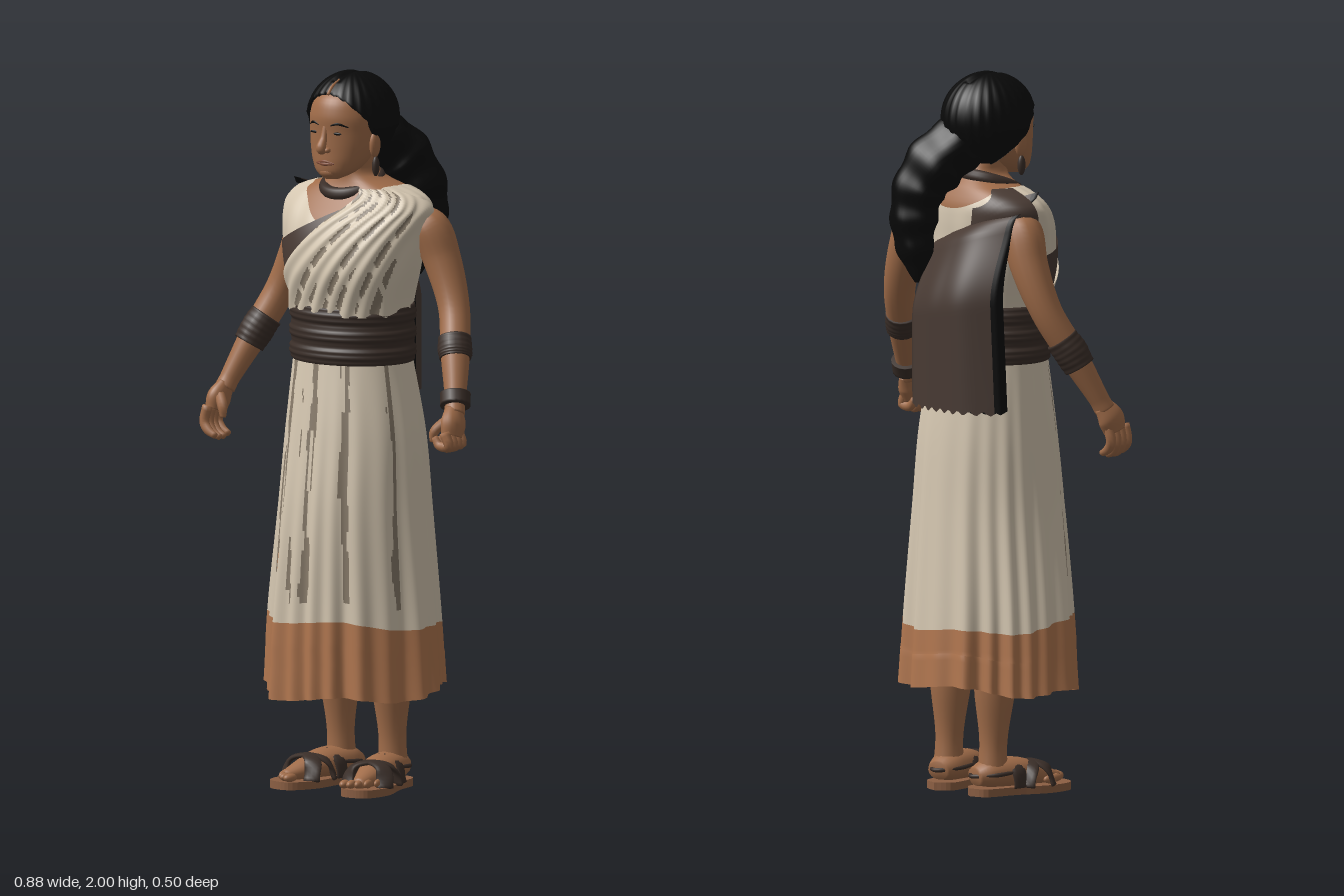
import * as THREE from 'three';

const mat = (name, color) => {
  const m = new THREE.MeshStandardMaterial({ color, side: THREE.DoubleSide });
  m.name = name;
  return m;
};
const M = {
  skin: mat('skin', 0xa06c49), cream: mat('cream cloth', 0xd4c6b0), shade: mat('cloth fold', 0x877a69),
  hem: mat('hem band', 0xb0764f), shawl: mat('shawl brown', 0x483a33), leather: mat('leather', 0x3a2e28),
  hair: mat('hair black', 0x090909), lip: mat('lip', 0x86503a), sole: mat('sole', 0x8c5f43),
};
const { lerp, smoothstep, clamp } = THREE.MathUtils;
const TAU = Math.PI * 2;

// Surface from a rule f(u, v) -> [x, y, z]; pick chooses the material of each face
function sheet(name, mats, nu, nv, f, { wrap = false, pick = () => 0 } = {}) {
  const list = [].concat(mats), pos = [], buckets = list.map(() => []);
  const w = wrap ? nu : nu + 1;
  for (let j = 0; j <= nv; j++) for (let i = 0; i < w; i++) pos.push(...f(i / nu, j / nv));
  for (let j = 0; j < nv; j++) for (let i = 0; i < nu; i++) {
    const a = j * w + i, b = j * w + (i + 1) % w;
    buckets[pick((i + 0.5) / nu, (j + 0.5) / nv)].push(a, b, a + w, b, b + w, a + w);
  }
  const g = new THREE.BufferGeometry();
  g.setAttribute('position', new THREE.Float32BufferAttribute(pos, 3));
  g.setIndex(buckets.flat());
  let start = 0;
  buckets.forEach((b, k) => { g.addGroup(start, b.length, k); start += b.length; });
  g.computeVertexNormals();
  const mesh = new THREE.Mesh(g, list.length > 1 ? list : list[0]);
  mesh.name = name;
  return mesh;
}

// Smooth lookup in rows of [y, ...values]
function profile(rows) {
  const k = rows[0].length - 1;
  const c = new THREE.CubicInterpolant(rows.map(r => r[0]), rows.flatMap(r => r.slice(1)), k, new Array(k));
  return y => Array.from(c.evaluate(clamp(y, rows[0][0], rows[rows.length - 1][0])));
}

// Closed tube with a radius per point; flat widens the side axis
function tube(name, m, pts, radii, { ref = [0, 0, 1], flat = 1, seg = 16, n = 24, ripple = 0 } = {}) {
  const curve = new THREE.CatmullRomCurve3(pts.map(p => new THREE.Vector3(...p)));
  const rad = profile(radii.map((r, i) => [i, r]));
  const up = new THREE.Vector3(...ref);
  return sheet(name, m, seg, n + 2, (u, v) => {
    const row = Math.round(v * (n + 2)), t = clamp((row - 1) / n, 0, 1);
    const c = curve.getPoint(t), T = curve.getTangent(t);
    const N = up.clone().addScaledVector(T, -up.dot(T)).normalize(), B = T.clone().cross(N);
    let r = row === 0 || row === n + 2 ? 0 : rad(t * (radii.length - 1))[0];
    const a = u * TAU;
    r *= 1 + ripple * (Math.sin(a * 5 + t * 9) + Math.sin(t * 34));
    return c.addScaledVector(N, r * Math.cos(a)).addScaledVector(B, r * flat * Math.sin(a)).toArray();
  }, { wrap: true });
}

function ball(name, m, p, s) {
  const b = new THREE.Mesh(new THREE.SphereGeometry(1, 20, 14), m);
  b.name = name;
  b.position.set(...p);
  b.scale.set(...s);
  return b;
}

// Torso surface at angle a (0 = front, + = left) and height y
const torsoRows = profile([
  [1.30, .012, .155, .132], [1.36, .012, .16, .137], [1.46, .012, .183, .15], [1.54, .008, .202, .14],
  [1.60, -.005, .218, .126], [1.64, -.018, .22, .108], [1.67, -.022, .185, .09], [1.69, -.02, .122, .08],
  [1.71, -.012, .07, .068], [1.76, 0, .056, .058], [1.80, .005, .055, .055]]);
const torsoAt = (a, y, off = 0) => {
  const [cz, rx, rz] = torsoRows(y), k = 1 + 0.05 * Math.sin(2 * a) ** 2;
  return [-.008 + (rx * k + off) * Math.sin(a), y, cz + (rz * k + off) * Math.cos(a)];
};

function torso(g) {
  g.add(sheet('body', M.skin, 64, 40, (u, v) => torsoAt(u * TAU, lerp(1.3, 1.8, v)), { wrap: true }));
  const neck = a => 1.69 - .11 * Math.exp(-((a / .5) ** 2)) - .06 * Math.exp(-(((Math.abs(a) - Math.PI) / .6) ** 2));
  g.add(sheet('blouse', M.cream, 96, 30, (u, v) => {
    const a = (u - .5) * TAU;
    return torsoAt(a, lerp(1.33, neck(a), v), .008 + .002 * Math.sin(a * 17));
  }, { wrap: true }));
  // Shawl across the chest and over the right shoulder
  g.add(sheet('shawlChest', M.shawl, 40, 16, (u, v) => {
    const a = lerp(-1.5, .12, u), x = .2 * Math.sin(a);
    return torsoAt(a, lerp(1.36, lerp(1.50, 1.625, (x + .2) / .22), v), .013);
  }));
  g.add(sheet('shawlShoulder', M.shawl, 24, 14, (u, v) => {
    const a = lerp(-2.75, -1.65, u);
    return torsoAt(a, lerp(1.5, lerp(1.64, 1.69, smoothstep(u, 0, .5)), v), .016);
  }));
  // Pleated drape from the left shoulder to the right hip
  const at = (u, v) => {
    const a = lerp(-1.4, 1.75, u), x = .2 * Math.sin(a);
    const top = x < 0 ? lerp(1.38, 1.6, (x + .2) / .2) : Math.min(1.6 + x * 1.05, 1.685) - .03 * smoothstep(a, 1, 1.7);
    const y = lerp(1.335, top, v), q = Math.atan2(1.82 - y, .24 - x);
    return [a, y, .7 * Math.sin(66 * q) + .45 * Math.sin(31 * q + 9 * y)];
  };
  g.add(sheet('drape', [M.cream, M.shade], 150, 56, (u, v) => {
    const [a, y, w] = at(u, v);
    return torsoAt(a, y, .018 + .004 * w);
  }, {
    pick: (u, v) => {
      const [a, y, w] = at(u, v);
      return w < -.42 && a < 1.2 && Math.sin(y * 47 + a * 13) > -.75 ? 1 : 0;
    },
  }));
}

function skirt(g) {
  const rows = profile([
    [.28, -.005, .008, .256, .218], [.47, -.004, .012, .248, .212], [.8, .004, .02, .218, .197],
    [1.0, .002, .016, .203, .178], [1.22, -.01, .012, .172, .147]]);
  const fold = a => .75 * Math.sin(20 * a + 1.9 * Math.sin(3 * a)) + .65 * Math.sin(9 * a + 1.2 * Math.sin(2 * a));
  g.add(sheet('skirt', [M.cream, M.shade, M.hem], 240, 50, (u, v) => {
    const a = u * TAU, y = lerp(.285, 1.22, v), [cx, cz, rx, rz] = rows(y);
    const lobe = .07 * Math.exp(-((((a + .42 + Math.PI) % TAU - Math.PI) / .28) ** 2)) * (1 - v);
    const k = 1 + lerp(.055, 0, v ** .8) * fold(a) + lobe;
    const tilt = (1 - v) * (.018 * Math.cos(a) * (v > .1 ? 1 : -.8) + .01 * Math.sin(4 * a));
    return [cx + rx * k * Math.sin(a), y + tilt, cz + rz * k * Math.cos(a)];
  }, {
    wrap: true, pick: (u, v) => {
      const a = u < .5 ? u * TAU : (u - 1) * TAU;
      if (v < .2 || (Math.abs(a + .66) < .03 && v < .4)) return 2;
      const streak = Math.sin(a * 53 + 2) + Math.sin(v * 11 + a * 31) > -.8;
      return Math.abs(a) < 1.2 && fold(a) + .25 * Math.sin(v * 14 + a * 40) < -.5 && v > .26 && streak ? 1 : 0;
    },
  }));
  // Wrapped belt with three rolls
  const pts = [];
  for (let i = 0; i <= 36; i++) {
    const t = i / 36;
    pts.push(new THREE.Vector2(1 + .045 * Math.abs(Math.sin(t * Math.PI * 3)) + .01 * Math.sin(t * 60), 1.2 + .16 * t));
  }
  pts.push(new THREE.Vector2(.88, 1.358));
  const belt = new THREE.Mesh(new THREE.LatheGeometry(pts, 64), M.leather);
  belt.name = 'belt';
  belt.scale.set(.177, 1, .152);
  belt.position.set(-.01, 0, .012);
  g.add(belt);
}

function cape(g) {
  // Brown outside, black inside and along the edge; the top folds onto the shoulder
  g.add(sheet('backShawl', [M.shawl, M.hair], 80, 36, (u, v) => {
    const outer = u < .5, s = outer ? u * 2 : 2 - u * 2;
    const y = lerp(1.085, lerp(1.685, 1.58, s), v) + (v === 0 ? .006 * Math.sin(s * 60) : 0);
    const k = smoothstep(1 - v, 0, .5), bow = s < .5 ? .075 : .02;
    const z = -(.155 + .088 * k) + bow * (2 * s - 1) ** 2 + .002 * Math.sin(s * 16) * k + .085 * smoothstep(v, .87, 1);
    return [lerp(lerp(-.262, -.225, v), .05, s), y, z + (outer ? -.005 : .004 + .026 * k)];
  }, { wrap: true, pick: u => (u > .02 && u < .5 ? 0 : 1) }));
}

function head(g) {
  const cx = -.02;
  const rows = profile([
    [1.71, .092, .022, .022], [1.725, .078, .052, .047], [1.75, .058, .074, .071], [1.79, .043, .09, .086],
    [1.84, .035, .097, .094], [1.89, .03, .097, .1], [1.94, .02, .078, .087], [1.975, .01, .03, .04]]);
  g.add(sheet('face', M.skin, 40, 30, (u, v) => {
    const y = lerp(1.71, 1.975, v), [cz, rx, rz] = rows(y), a = u * TAU;
    return [cx + rx * Math.sin(a), y, cz + rz * Math.cos(a)];
  }, { wrap: true }));
  g.add(ball('chin', M.skin, [cx, 1.73, .106], [.032, .018, .022]));
  g.add(tube('nose', M.skin, [[cx, 1.86, .122], [cx, 1.825, .131], [cx, 1.798, .143], [cx, 1.787, .133]], [.008, .01, .014, .009]));
  for (const s of [-1, 1]) {
    g.add(ball('nostril', M.skin, [cx + s * .013, 1.793, .131], [.009, .008, .011]));
    g.add(ball('eye', M.hair, [cx + s * .037, 1.84, .121], [.017, .004, .004]));
    g.add(tube('brow', M.hair, [[cx + s * .016, 1.86, .127], [cx + s * .04, 1.867, .121], [cx + s * .066, 1.858, .104]], [.002, .004, .002], { seg: 8 }));
    g.add(ball('ear', M.skin, [cx + s * .099, 1.805, .028], [.012, .036, .02]));
    g.add(ball('earring', M.leather, [cx + s * .102, 1.745, .028], [.01, .028, .012]));
  }
  for (const [y, r] of [[1.761, .004], [1.753, .005]])
    g.add(tube('lip', M.lip, [[cx - .03, 1.755, .122], [cx, y, .128], [cx + .03, 1.755, .122]], [.003, r, .003], { seg: 8 }));

  // Swept hair with a face opening below an arched hairline, drawn back under the ears
  g.add(sheet('hair', M.hair, 96, 60, (u, v) => {
    const a = u * TAU, p = (v - .5) * Math.PI, r = 1 + .014 * Math.sin(26 * a + 5 * v);
    const x = .122 * r * Math.cos(p) * Math.sin(a), y = 1.87 + .13 * Math.sin(p);
    let z = -.006 + .138 * r * Math.cos(p) * Math.cos(a);
    const line = 1.945 - 6 * x * x, open = 1 - smoothstep(y, line - .015, line);
    const limit = lerp(-.03, .055, smoothstep(y, 1.75, 1.87));
    if (z > limit) z = lerp(z, limit, open);
    return [cx - .004 + x, y - .01 * Math.exp(-((x / .012) ** 2)) * (v > .8 ? 1 : 0), z];
  }, { wrap: true }));
  g.add(tube('parting', M.skin, [[cx, 1.945, .112], [cx, 1.965, .093], [cx, 1.982, .06]], [.004, .004, .002], { seg: 8 }));
  g.add(tube('hairTail', M.hair, [[0, 1.815, -.07], [.04, 1.755, -.14], [.075, 1.68, -.178], [.08, 1.59, -.19], [.07, 1.5, -.19], [.06, 1.42, -.185]],
    [.07, .076, .068, .06, .045, .012], { seg: 40, n: 70, ripple: .05, flat: 1.12 }));
  const collar = new THREE.Mesh(new THREE.TorusGeometry(.076, .018, 12, 48), M.leather);
  collar.name = 'necklace';
  collar.rotation.x = Math.PI / 2 + .35;
  collar.position.set(cx, 1.69, .002);
  g.add(collar);
}

function arm(g, s) {
  const left = s > 0, P = list => list.map(([x, y, z]) => [s * x, y, z]);
  g.add(tube(left ? 'leftArm' : 'rightArm', M.skin,
    P([[.18, 1.605, -.04], [.212, 1.572, -.05], [.247, 1.49, -.058], [.3, 1.365, -.042], [.345, 1.25, .01], [.39, 1.125, .068], [.4, 1.09, .085]]),
    [.04, .057, .053, .044, .041, .029, .029], { n: 40 }));
  // Bands follow the forearm
  g.add(tube('forearmBand', M.leather, P(left
    ? [[.33, 1.285, -.006], [.345, 1.25, .01], [.352, 1.232, .018]]
    : [[.328, 1.288, -.01], [.345, 1.25, .01], [.36, 1.21, .028]]), [.046, .048, .044], { ripple: .012 }));
  if (left) g.add(tube('wristBangle', M.leather, P([[.384, 1.142, .06], [.396, 1.11, .075]]), [.043, .042], { n: 6 }));
  g.add(tube('palm', M.skin, P([[.398, 1.1, .08], [.408, 1.065, .1], [.412, 1.03, .112]]), [.03, .042, .036], { flat: .68 }));
  for (let i = 0; i < 4; i++) {
    const z = .085 + .02 * i, d = .006 * Math.abs(i - 1.5);
    g.add(tube('finger', M.skin, P(left
      ? [[.412, 1.045, z], [.426, 1.01, z], [.395, .998 + d, z], [.378, 1.03, z]]
      : [[.414, 1.045, z], [.422, 1.0, z + .004], [.405, .968 + d, z + .008], [.38, .955 + d, z + .008]]),
    [.015, .014, .013, .009], { seg: 8, n: 12 }));
  }
  g.add(tube('thumb', M.skin, P([[.395, 1.075, .115], [.37, 1.045, .135], [.365, 1.015, .138]]), [.015, .014, .008], { seg: 8, n: 10 }));
}

function leg(g, x, s) {
  g.add(tube('leg', M.skin, [[x + s * .005, .6, -.04], [x, .42, -.06], [x, .29, -.07], [x, .15, -.075], [x, .05, -.078]],
    [.08, .066, .057, .039, .043]));
  const foot = new THREE.Group();
  foot.name = s > 0 ? 'leftFoot' : 'rightFoot';
  foot.position.set(x + s * .012, 0, 0);
  foot.rotation.y = s * .2;
  const Y = [0, 1, 0];
  foot.add(tube('footBody', M.skin, [[0, .052, -.135], [0, .06, -.09], [0, .058, 0], [0, .043, .08], [0, .034, .13]],
    [.025, .04, .04, .026, .014], { ref: Y, flat: 1.3 }));
  for (let i = 0; i < 5; i++)
    foot.add(ball('toe', M.skin, [s * (-.036 + .019 * i), .034, .142 - .007 * i * i * .5], [.013 - .001 * i, .012, .022]));
  const outline = new THREE.SplineCurve([[0, -.152], [.046, -.12], [.05, -.03], [.067, .07], [.045, .145], [0, .163],
    [-.045, .145], [-.067, .07], [-.05, -.03], [-.046, -.12], [0, -.152]].map(p => new THREE.Vector2(p[0], -p[1])));
  const sole = new THREE.Mesh(new THREE.ExtrudeGeometry(new THREE.Shape(outline.getPoints(48)), { depth: .022, bevelEnabled: false }), M.sole);
  sole.name = 'sole';
  sole.rotation.x = -Math.PI / 2;
  foot.add(sole);
  // Broad crossed straps and heel strap
  for (const [z0, z1] of [[.085, .0], [.0, .085], [-.02, -.03]])
    foot.add(tube('strap', M.leather, [[-.06, .02, z0], [-.047, .07, z0 * .8 + z1 * .2], [0, .094 - .25 * Math.max(0, (z0 + z1) / 2), (z0 + z1) / 2],
      [.047, .07, z0 * .2 + z1 * .8], [.06, .02, z1]], [.007, .007, .007, .007, .007], { ref: Y, flat: 3.4, seg: 12 }));
  foot.add(tube('heelStrap', M.leather, [[-.048, .065, -.02], [-.05, .06, -.09], [0, .055, -.145], [.05, .06, -.09], [.048, .065, -.02]],
    [.005, .006, .006, .006, .005], { ref: [0, 1, 0], seg: 8 }));
  g.add(foot);
}

export function createModel() {
  const g = new THREE.Group();
  g.name = 'robedWoman';
  torso(g);
  skirt(g);
  cape(g);
  head(g);
  for (const s of [-1, 1]) arm(g, s);
  leg(g, -.12, -1);
  leg(g, .06, 1);
  return g;
}
